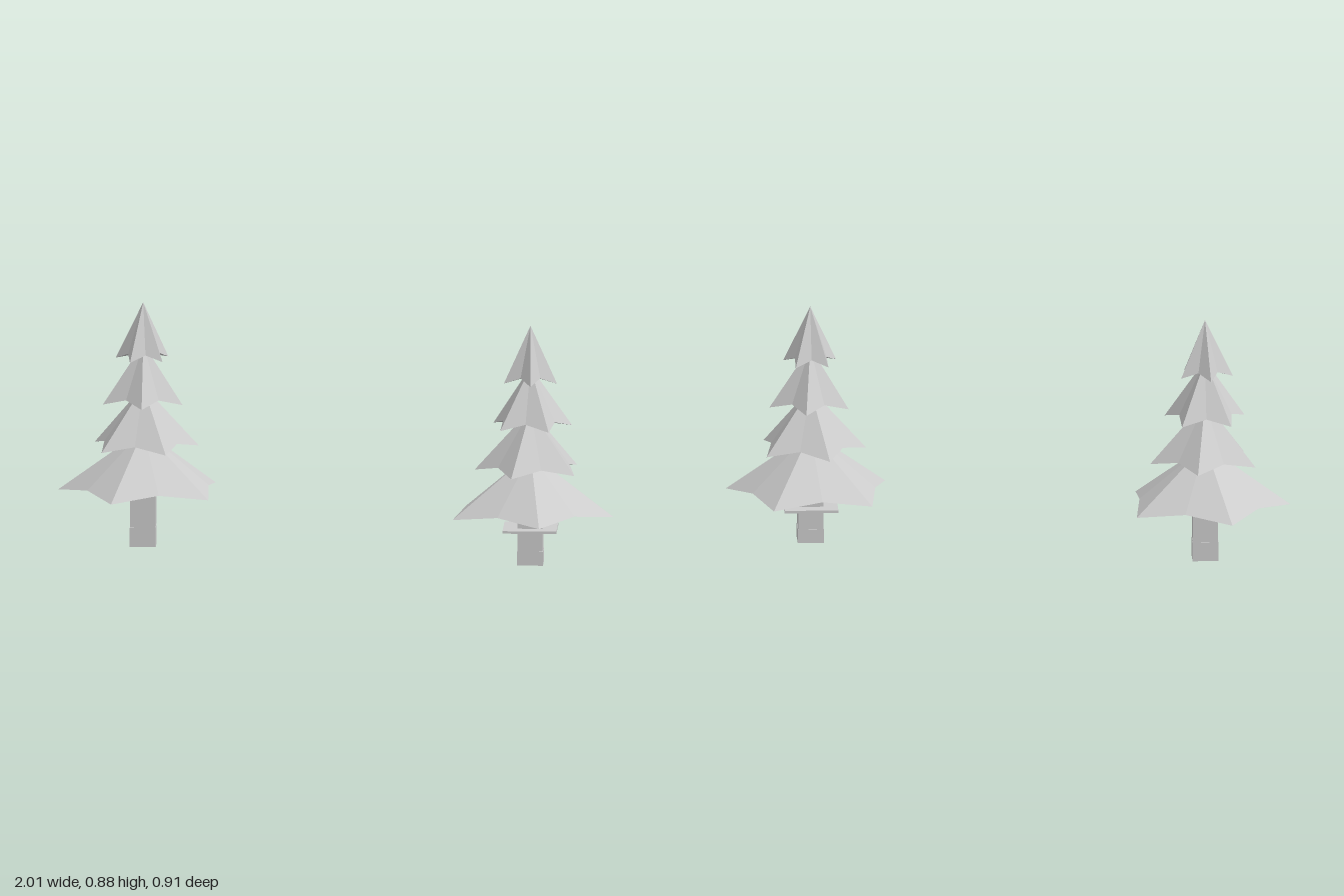
import * as THREE from 'three';

const paleGrey = new THREE.MeshStandardMaterial({ color: 0xcccccc, flatShading: true });
paleGrey.name = 'pale grey';

const POINTS = 5;

// Five-pointed star cone: tips droop below the notches, closed underneath
function starCone(radius, notch, height, lift, phase) {
  const apex = [0, height, 0], hub = [0, lift, 0], rim = [], pos = [];
  for (let i = 0; i < POINTS * 2; i++) {
    const a = phase + (i * Math.PI) / POINTS;
    const r = i % 2 ? radius * notch : radius;
    rim.push([Math.cos(a) * r, i % 2 ? lift : 0, Math.sin(a) * r]);
  }
  rim.forEach((p, i) => {
    const q = rim[(i + 1) % rim.length];
    pos.push(...apex, ...q, ...p, ...hub, ...p, ...q);
  });
  const g = new THREE.BufferGeometry();
  g.setAttribute('position', new THREE.Float32BufferAttribute(pos, 3));
  g.computeVertexNormals();
  return g;
}

function box(name, width, y0, y1) {
  const m = new THREE.Mesh(new THREE.BoxGeometry(width, y1 - y0, width), paleGrey);
  m.position.y = (y0 + y1) / 2;
  m.name = name;
  return m;
}

// Tiers from bottom to top: radius, notch ratio, height
const TIERS = [
  [0.305, 0.77, 0.22],
  [0.2, 0.7, 0.22],
  [0.15, 0.66, 0.215],
  [0.1, 0.6, 0.205],
];

function tree(name, x, z, firstTier, phaseDeg, baseHeight) {
  const g = new THREE.Group();
  g.name = name;
  g.position.set(x, 0, z);

  // Trunk with a slightly wider foot
  g.add(box('trunkBase', 0.093, 0, baseHeight));
  g.add(box('trunk', 0.09, baseHeight, firstTier + 0.05));

  // Foliage, each tier twisted a little further than the one below
  TIERS.forEach(([r, notch, h], i) => {
    const phase = THREE.MathUtils.degToRad(phaseDeg + i * 26);
    const m = new THREE.Mesh(starCone(r, notch, h, 0.022, phase), paleGrey);
    m.position.y = firstTier + i * 0.16;
    m.name = 'foliageTier' + (i + 1);
    g.add(m);
  });
  return g;
}

export function createModel() {
  const model = new THREE.Group();
  model.name = 'pineTrees';

  const rightTree = tree('rightTree', -0.7, -0.16, 0.198, 38, 0.07);
  const leftTree = tree('leftTree', 0.7, 0.152, 0.18, 10, 0.051);

  // Thin square plate around the left trunk
  leftTree.add(box('trunkPlate', 0.193, 0.125, 0.134));

  model.add(rightTree, leftTree);
  return model;
}
